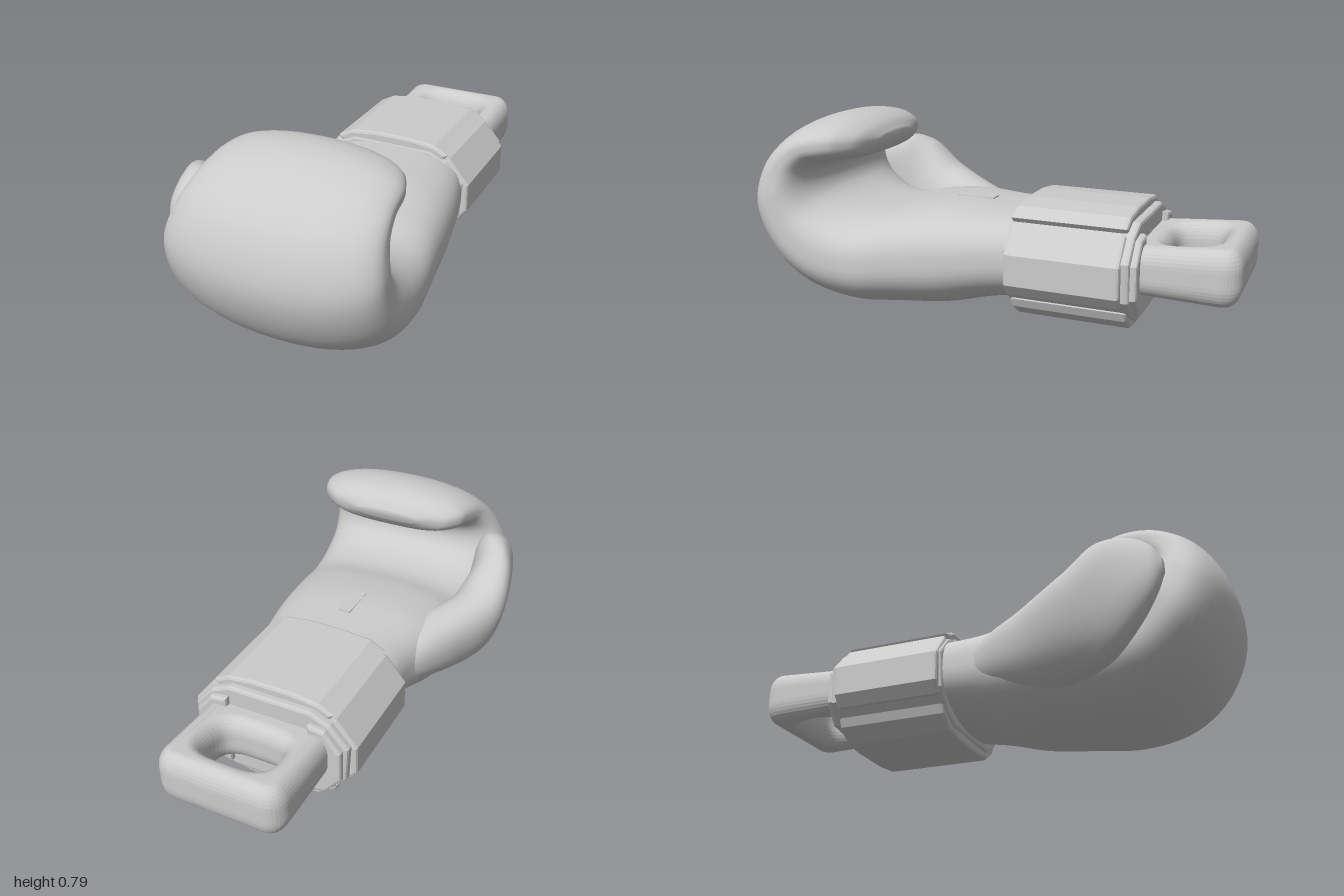
import * as THREE from 'three';

const material = new THREE.MeshStandardMaterial({ color: 0xcccccc, side: THREE.DoubleSide });

function add(group, name, geometry) {
  const mesh = new THREE.Mesh(geometry, material);
  mesh.name = name;
  group.add(mesh);
  return mesh;
}

// Smooth loft through rounded sections; the outer and inner halves have their own roundness.
// Station: [outer z, outer y, inner z, inner y, min x, max x, sideways lean]
function loft(stations, outerPower, innerPower, steps = 72, sides = 56) {
  const curve = (f) => new THREE.CatmullRomCurve3(stations.map((s) => new THREE.Vector3(...f(s))));
  const outer = curve((s) => [0, s[1], s[0]]);
  const inner = curve((s) => [0, s[3], s[2]]);
  const width = curve((s) => [s[4], s[5], s[6] || 0]);
  const round = (v, power) => Math.sign(v) * Math.abs(v) ** (2 / power);
  const pos = [], index = [], centres = [];
  for (let i = 0; i <= steps; i++) {
    const o = outer.getPoint(i / steps), n = inner.getPoint(i / steps), w = width.getPoint(i / steps);
    const c = o.clone().add(n).multiplyScalar(0.5);
    const v = n.clone().sub(o).multiplyScalar(0.5);
    const cx = (w.x + w.y) / 2, hx = (w.y - w.x) / 2;
    centres.push([cx, c.y, c.z]);
    for (let j = 0; j < sides; j++) {
      const a = (j / sides) * Math.PI * 2;
      const power = Math.sin(a) > 0 ? innerPower : outerPower;
      const k = round(Math.sin(a), power);
      pos.push(cx + hx * round(Math.cos(a), power) + w.z * k, c.y + v.y * k, c.z + v.z * k);
      if (i < steps) {
        const p = i * sides + j, q = i * sides + ((j + 1) % sides);
        index.push(p, q, p + sides, q, q + sides, p + sides);
      }
    }
  }
  // Close both ends
  const first = pos.length / 3, lastRing = steps * sides;
  pos.push(...centres[0], ...centres[steps]);
  for (let j = 0; j < sides; j++) {
    const k = (j + 1) % sides;
    index.push(first, k, j, first + 1, lastRing + j, lastRing + k);
  }
  const g = new THREE.BufferGeometry();
  g.setAttribute('position', new THREE.Float32BufferAttribute(pos, 3));
  g.setIndex(index);
  g.computeVertexNormals();
  return g;
}

// Prism running along z from an outline in x and y
function prism(points, z0, z1, bevel = 0.012) {
  const shape = new THREE.Shape(points.map(([x, y]) => new THREE.Vector2(x, y)));
  const g = new THREE.ExtrudeGeometry(shape, {
    depth: z1 - z0 - 2 * bevel, bevelSize: bevel, bevelThickness: bevel, bevelOffset: -bevel, bevelSegments: 2,
  });
  return g.translate(0, 0, z0 + bevel);
}

function roundedRect(path, x0, y0, x1, y1, r) {
  path.moveTo(x0 + r, y0);
  path.lineTo(x1 - r, y0);
  path.quadraticCurveTo(x1, y0, x1, y0 + r);
  path.lineTo(x1, y1 - r);
  path.quadraticCurveTo(x1, y1, x1 - r, y1);
  path.lineTo(x0 + r, y1);
  path.quadraticCurveTo(x0, y1, x0, y1 - r);
  path.lineTo(x0, y0 + r);
  path.quadraticCurveTo(x0, y0, x0 + r, y0);
  return path;
}

// Hanging loop, thicker towards its outer end
function loopGeometry() {
  const shape = roundedRect(new THREE.Shape(), -0.145, -0.945, 0.26, -0.55, 0.025);
  shape.holes.push(roundedRect(new THREE.Path(), -0.139, -0.942, 0.254, -0.648, 0.145));
  const g = new THREE.ExtrudeGeometry(shape, {
    depth: 0.05, bevelSize: 0.055, bevelThickness: 0.075, bevelSegments: 8, curveSegments: 10,
  });
  g.rotateX(Math.PI / 2).translate(0, 0.025, 0);
  const p = g.attributes.position;
  for (let i = 0; i < p.count; i++) {
    const t = THREE.MathUtils.clamp((-p.getZ(i) - 0.62) / 0.38, 0, 1);
    p.setY(i, 0.29 + 0.01 * t + p.getY(i) * (0.9 + 0.23 * t));
  }
  g.computeVertexNormals();
  return g;
}

export function createModel() {
  const glove = new THREE.Group();
  glove.name = 'boxingGlove';

  // Padded hand: wrist, palm, knuckles and curled fingers in one sweep
  add(glove, 'paddedHand', loft([
    [-0.2, 0.1, -0.2, 0.45, -0.25, 0.36],
    [-0.02, 0.075, -0.02, 0.455, -0.26, 0.405],
    [0.15, 0.03, 0.15, 0.46, -0.31, 0.435],
    [0.35, 0.01, 0.33, 0.44, -0.34, 0.46],
    [0.54, 0, 0.48, 0.41, -0.345, 0.48],
    [0.75, 0.05, 0.6, 0.43, -0.36, 0.49],
    [0.91, 0.18, 0.68, 0.48, -0.385, 0.49],
    [1.0, 0.4, 0.7, 0.53, -0.36, 0.49],
    [0.95, 0.6, 0.69, 0.57, -0.31, 0.475],
    [0.82, 0.73, 0.66, 0.595, -0.27, 0.465],
    [0.68, 0.785, 0.62, 0.6, -0.25, 0.46],
    [0.57, 0.785, 0.57, 0.61, -0.23, 0.43],
    [0.5, 0.755, 0.51, 0.63, -0.17, 0.35],
    [0.465, 0.71, 0.475, 0.67, -0.04, 0.21],
  ], 2.15, 2.8));

  // Thumb lying along the side of the palm
  add(glove, 'thumb', loft([
    [-0.05, 0.2, -0.05, 0.34, -0.23, -0.1, 0],
    [0.08, 0.16, 0.08, 0.39, -0.31, -0.1, -0.01],
    [0.22, 0.12, 0.22, 0.42, -0.385, -0.12, -0.025],
    [0.42, 0.1, 0.42, 0.475, -0.475, -0.22, -0.05],
    [0.58, 0.15, 0.55, 0.58, -0.47, -0.27, -0.035],
    [0.7, 0.27, 0.65, 0.61, -0.45, -0.27, 0],
    [0.76, 0.36, 0.74, 0.57, -0.425, -0.28, 0.01],
    [0.785, 0.44, 0.78, 0.5, -0.39, -0.32, 0],
  ], 2.2, 2.3, 48, 32));

  // Small pull tab on the inner wrist
  add(glove, 'laceTab', new THREE.BoxGeometry(0.055, 0.02, 0.16)).position.set(0.07, 0.452, 0.105);

  // Wrist cuff: eight-sided core with overlapping panels
  const cx = 0.055;
  const cuff = new THREE.Group();
  cuff.name = 'cuff';
  glove.add(cuff);
  const mirrored = (half) => [
    ...half.map(([x, y]) => [cx + x, y]),
    ...half.slice().reverse().map(([x, y]) => [cx - x, y]),
  ];
  add(cuff, 'cuffCore', prism(mirrored([[0.17, 0.075], [0.24, 0.11], [0.315, 0.19], [0.325, 0.34], [0.25, 0.425], [0.17, 0.46]]), -0.62, -0.13));
  add(cuff, 'topPanel', prism(mirrored([[0.22, 0.41], [0.25, 0.45], [0.19, 0.482], [0.08, 0.495]]), -0.59, -0.135));
  add(cuff, 'bottomStrap', prism(mirrored([[0.1, 0.04], [0.19, 0.05], [0.26, 0.1], [0.275, 0.135], [0.22, 0.145]]), -0.6, -0.14));
  for (const s of [-1, 1]) {
    const side = [[0.27, 0.165], [0.31, 0.165], [0.345, 0.21], [0.345, 0.33], [0.26, 0.435], [0.22, 0.41]];
    add(cuff, 'sidePanel', prism(side.map(([x, y]) => [cx + s * x, y]), -0.59, -0.14));
    // Raised flaps at the open end
    const flap = [[0.17, 0.11], [0.24, 0.12], [0.305, 0.2], [0.305, 0.33], [0.24, 0.41], [0.17, 0.42]];
    add(cuff, 'endFlap', prism(flap.map(([x, y]) => [cx + s * x, y]), -0.645, -0.59));
  }

  add(glove, 'hangingLoop', loopGeometry());
  return glove;
}
